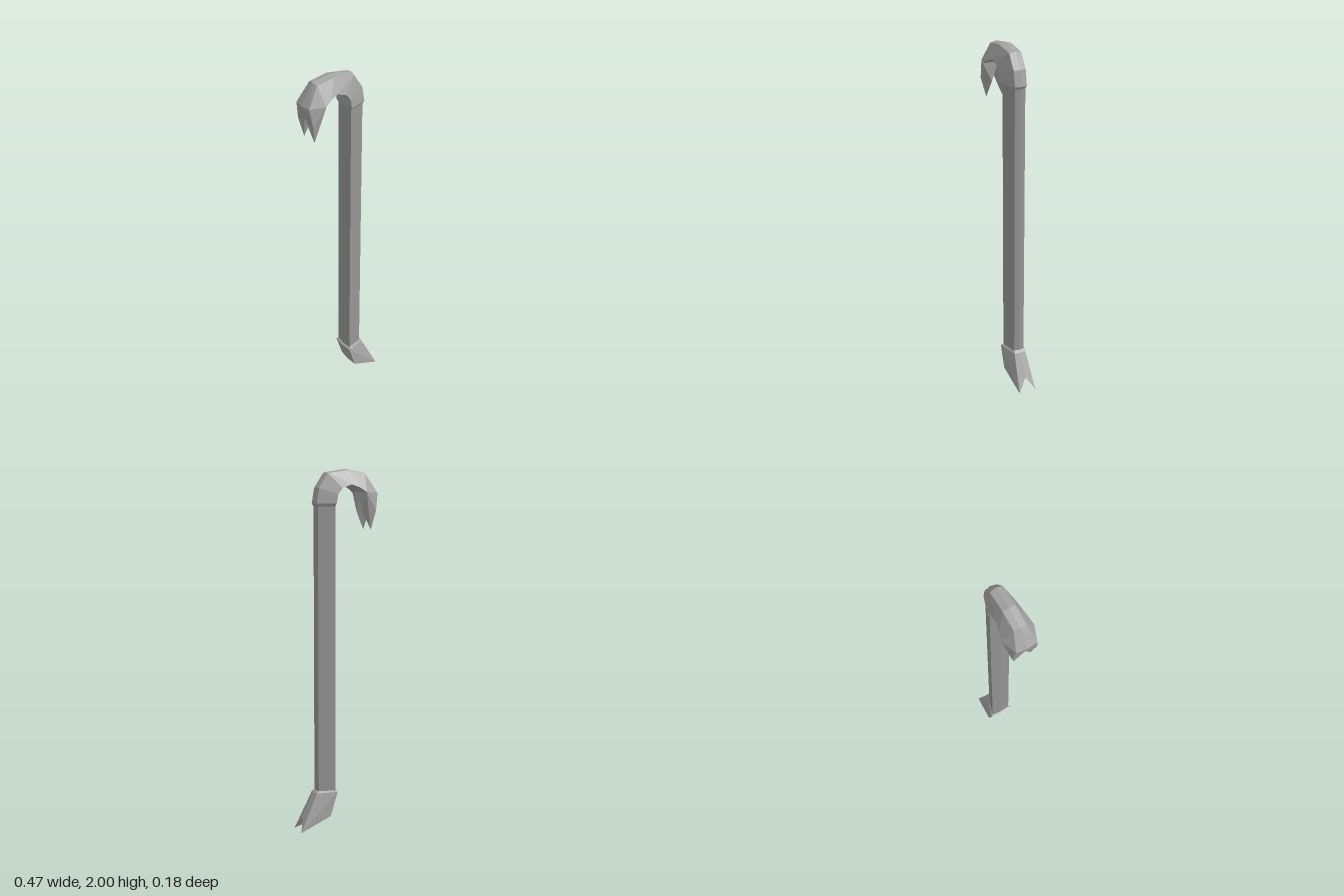
import * as THREE from 'three';

// Half cross-section (z >= 0): outer ridge, outer edge, inner edge, inner ridge
function section(ox, oy, oz, ix, iy, iz, bulge = 0.008) {
  const len = Math.hypot(ox - ix, oy - iy);
  const dx = (ox - ix) / len * bulge, dy = (oy - iy) / len * bulge;
  return [[ox + dx, oy + dy, 0], [ox, oy, oz], [ix, iy, iz], [ix - dx, iy - dy, 0]];
}

// Collects triangles and mirrors each one across z = 0
class HalfShell {
  constructor() { this.points = []; }
  tri(a, b, c) {
    const flip = (p) => [p[0], p[1], -p[2]];
    this.points.push(...a, ...b, ...c, ...flip(a), ...flip(c), ...flip(b));
  }
  quad(a, b, c, d) {
    this.tri(a, b, c);
    this.tri(a, c, d);
  }
  loft(sections) {
    for (let s = 0; s < sections.length - 1; s++) {
      const p = sections[s], q = sections[s + 1];
      for (let j = 0; j < 3; j++) this.quad(p[j], q[j], q[j + 1], p[j + 1]);
    }
  }
  // Closes one end of a loft
  cap(s, up) {
    const [a, b, c, d] = s;
    if (up) this.quad(a, d, c, b);
    else this.quad(a, b, c, d);
  }
  mesh(name, material) {
    const geometry = new THREE.BufferGeometry();
    geometry.setAttribute('position', new THREE.Float32BufferAttribute(this.points, 3));
    geometry.computeVertexNormals();
    const mesh = new THREE.Mesh(geometry, material);
    mesh.name = name;
    return mesh;
  }
}

const barSection = (y) => section(0.117, y, 0.03, 0.027, y, 0.056, 0.006);

function buildShaft(material) {
  const shell = new HalfShell();
  shell.loft([barSection(0.2), barSection(1.82)]);
  return shell.mesh('shaft', material);
}

function buildHook(material) {
  const shell = new HalfShell();
  // Arch from the collar round to the root of the claw
  const root = section(-0.227, 1.87, 0.057, -0.145, 1.875, 0.088);
  const arch = [
    barSection(1.798),
    section(0.126, 1.812, 0.034, 0.024, 1.812, 0.068),
    section(0.112, 1.895, 0.034, 0.015, 1.86, 0.069),
    section(0.06, 1.974, 0.034, -0.01, 1.895, 0.07),
    section(-0.06, 1.992, 0.034, -0.065, 1.915, 0.07),
    section(-0.163, 1.974, 0.034, -0.108, 1.9, 0.079),
    root,
  ];
  shell.loft(arch);
  shell.cap(arch[0], false);

  // Claw: two prongs around a V notch
  const [ridge, outer, inner, crotch] = root;
  const notch = [-0.216, 1.8, 0];
  const side = [-0.212, 1.775, 0.07];
  const tip = [-0.192, 1.672, 0.047];
  const belly = [-0.145, 1.77, 0.035];
  shell.quad(ridge, notch, side, outer);
  shell.tri(notch, tip, side);
  shell.tri(outer, side, inner);
  shell.tri(side, tip, inner);
  shell.tri(inner, tip, belly);
  shell.tri(inner, belly, crotch);
  shell.tri(tip, notch, belly);
  shell.tri(notch, crotch, belly);
  return shell.mesh('hookClaw', material);
}

function buildFoot(material) {
  const shell = new HalfShell();
  const collar = section(0.13, 0.21, 0.034, 0.018, 0.215, 0.068);
  const top = barSection(0.222);
  shell.loft([collar, top]);
  shell.cap(top, true);

  // Angled wedge ending in two points
  const [ridge, outer, inner, back] = collar;
  const notch = [0.203, 0.08, 0];
  const tip = [0.232, 0, 0.051];
  const heel = [0.06, 0.08, 0.067];
  const heelMid = [0.053, 0.082, 0];
  shell.quad(notch, ridge, outer, tip);
  shell.quad(tip, outer, inner, heel);
  shell.quad(heel, inner, back, heelMid);
  shell.tri(tip, heel, heelMid);
  shell.tri(notch, tip, heelMid);
  return shell.mesh('forkedFoot', material);
}

export function createModel() {
  const shaftSteel = new THREE.MeshStandardMaterial({ color: 0x969696 });
  shaftSteel.name = 'shaft steel';
  const endSteel = new THREE.MeshStandardMaterial({ color: 0xa4a4a4 });
  endSteel.name = 'end steel';

  const model = new THREE.Group();
  model.name = 'pryBar';
  model.add(buildShaft(shaftSteel), buildHook(endSteel), buildFoot(endSteel));
  return model;
}
